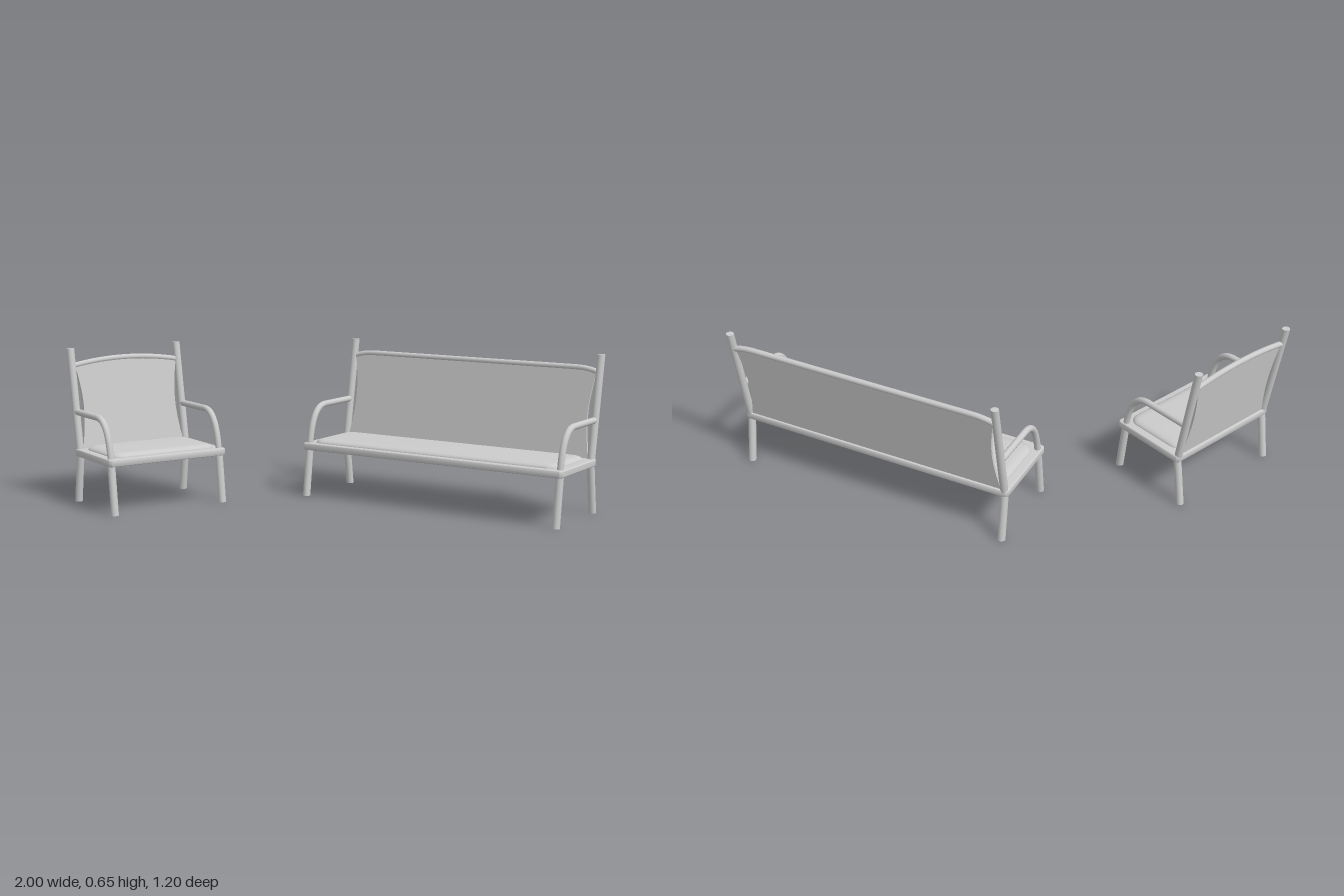
import * as THREE from 'three';
import { mergeVertices, toCreasedNormals } from 'three/addons/utils/BufferGeometryUtils.js';

const material = new THREE.MeshStandardMaterial({ color: 0xcccccc });

function addMesh(parent, name, geometry) {
  const mesh = new THREE.Mesh(geometry, material);
  mesh.name = name;
  parent.add(mesh);
  return mesh;
}

// Move every vertex by a rule
function reshape(geometry, rule) {
  const p = geometry.attributes.position;
  const v = new THREE.Vector3();
  for (let i = 0; i < p.count; i++) {
    v.fromBufferAttribute(p, i);
    rule(v);
    p.setXYZ(i, v.x, v.y, v.z);
  }
  geometry.computeVertexNormals();
  return geometry;
}

// Round rod between two heights, leaning in z, with level ends
function leaningRod(y0, z0, y1, z1, radius = 0.016) {
  const h = y1 - y0;
  const g = new THREE.CylinderGeometry(radius, radius, h, 20);
  g.applyMatrix4(new THREE.Matrix4().makeShear(0, 0, 0, (z1 - z0) / h, 0, 0));
  return g.translate(0, (y0 + y1) / 2, (z0 + z1) / 2);
}

// Flat slab with rounded corners and soft edges, lying between y0 and y1
function softSlab(halfW, halfD, corner, y0, y1, bevelSize, bevelThickness) {
  const w = halfW - bevelSize, d = halfD - bevelSize, r = corner;
  const s = new THREE.Shape();
  s.moveTo(-w + r, -d);
  s.lineTo(w - r, -d);
  s.absarc(w - r, -d + r, r, -Math.PI / 2, 0);
  s.absarc(w - r, d - r, r, 0, Math.PI / 2);
  s.absarc(-w + r, d - r, r, Math.PI / 2, Math.PI);
  s.absarc(-w + r, -d + r, r, Math.PI, Math.PI * 1.5);
  let g = new THREE.ExtrudeGeometry(s, {
    depth: y1 - y0 - 2 * bevelThickness, bevelSize, bevelThickness, bevelSegments: 5, curveSegments: 6,
  });
  g.rotateX(-Math.PI / 2).translate(0, y0 + bevelThickness, 0);
  g.deleteAttribute('normal');
  g.deleteAttribute('uv');
  g = mergeVertices(g, 1e-5);
  return toCreasedNormals(g, 0.6);
}

// z of the raked back posts at a given height
const postZ = (y) => -0.153 - (y - 0.2) * 0.171;

// halfW is the distance from the middle to the posts
function createSeat(name, halfW, archLength, archRise) {
  const seat = new THREE.Group();
  seat.name = name;

  addMesh(seat, 'seatFrame', softSlab(halfW + 0.02, 0.172, 0.012, 0.2, 0.23, 0.006, 0.006));
  addMesh(seat, 'seatCushion', softSlab(halfW - 0.014, 0.145, 0.01, 0.209, 0.247, 0.04, 0.018));

  // Legs, posts and bent armrests on both sides
  for (const [side, sx] of [['left', 1], ['right', -1]]) {
    const frame = new THREE.Group();
    frame.name = side + 'SideFrame';
    frame.position.x = sx * halfW;
    addMesh(frame, 'frontLeg', leaningRod(0, 0.167, 0.205, 0.142));
    addMesh(frame, 'backLeg', leaningRod(0, -0.183, 0.205, -0.153));
    addMesh(frame, 'backPost', leaningRod(0.2, postZ(0.2), 0.65, postZ(0.65)));
    const arm = new THREE.CurvePath();
    const at = (z, y) => new THREE.Vector3(0, y, z);
    arm.add(new THREE.LineCurve3(at(-0.18, 0.385), at(0.022, 0.385)));
    arm.add(new THREE.CubicBezierCurve3(at(0.022, 0.385), at(0.09, 0.385), at(0.125, 0.33), at(0.141, 0.215)));
    addMesh(frame, 'armrest', new THREE.TubeGeometry(arm, 40, 0.0135, 14));
    seat.add(frame);
  }

  // Height of the arched top edge across the back
  const topY = (x) => {
    const d = Math.max(0, 1 - (halfW - Math.abs(x)) / archLength);
    return 0.575 + archRise * (1 - d * d);
  };

  // Back panel: sides drawn inward between the posts
  const panel = reshape(new THREE.BoxGeometry(2, 1, 0.01, 48, 14, 1), (v) => {
    const t = v.y + 0.5;
    v.x *= halfW - 0.012 - 0.022 * Math.sin(Math.PI * t);
    v.y = 0.225 + t * (topY(v.x) - 0.225);
    v.z += postZ(v.y);
  });
  addMesh(seat, 'backPanel', panel);

  // Rolled rail along the top of the back
  const points = [];
  for (let i = 0; i <= 32; i++) {
    const x = halfW * (i / 16 - 1);
    points.push(new THREE.Vector3(x, topY(x), postZ(topY(x)) - 0.002));
  }
  addMesh(seat, 'topRail', new THREE.TubeGeometry(new THREE.CatmullRomCurve3(points), 64, 0.012, 12));

  return seat;
}

export function createModel() {
  const model = new THREE.Group();
  model.name = 'seatingSet';

  const bench = createSeat('bench', 0.59, 0.1, 0.017);
  bench.position.set(0.388, 0, -0.357);
  model.add(bench);

  const armchair = createSeat('armchair', 0.2515, 0.25, 0.024);
  armchair.position.set(-0.675, 0, 0.289);
  armchair.rotation.y = 1.175;
  model.add(armchair);

  return model;
}
